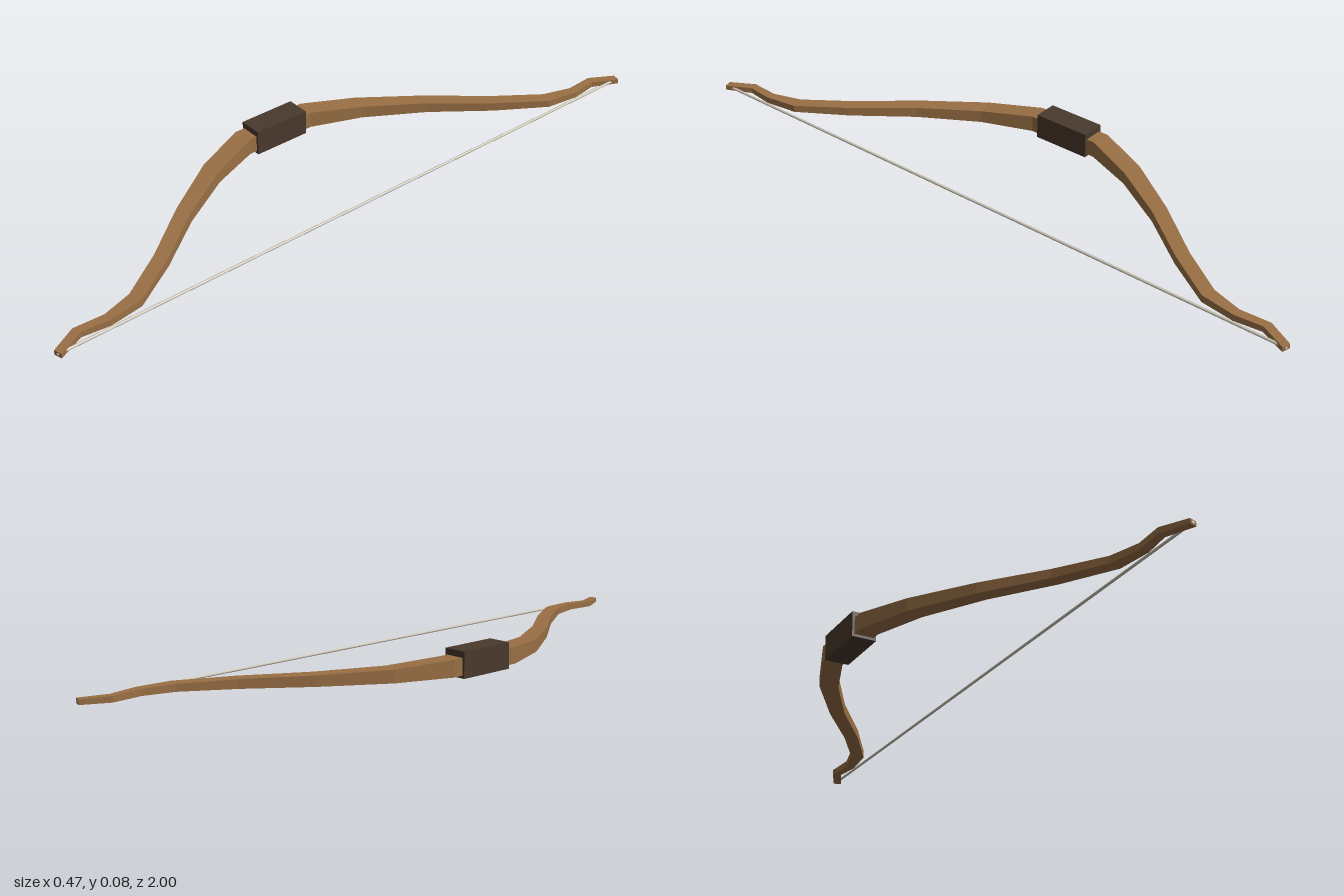
import * as THREE from 'three';

const WOOD = new THREE.MeshStandardMaterial({ color: 0x9a7045, flatShading: true });
const LEATHER = new THREE.MeshStandardMaterial({ color: 0x4a392e, flatShading: true });
const CORD = new THREE.MeshStandardMaterial({ color: 0xcfc8ba });

// half-limb sections: outer x, outer z, inner x, inner z, top y
const SECTIONS = [
  [-0.23, 0.12, -0.172, 0.112, 0.057],
  [-0.168, 0.278, -0.115, 0.262, 0.045],
  [-0.055, 0.45, -0.015, 0.43, 0.039],
  [0.07, 0.61, 0.106, 0.59, 0.034],
  [0.157, 0.745, 0.196, 0.733, 0.029],
  [0.182, 0.835, 0.21, 0.835, 0.027],
  [0.175, 0.924, 0.2, 0.916, 0.025],
  [0.213, 1.0, 0.236, 0.993, 0.022],
];
const BASE = 0.008;

// four-sided tapered stave swept through all sections, tip to tip
function staveGeometry() {
  const mirrored = SECTIONS.map(([ox, oz, ix, iz, y]) => [ox, -oz, ix, -iz, y]).reverse();
  const rings = [...mirrored, ...SECTIONS].map(([ox, oz, ix, iz, y]) => [
    [ox, BASE, oz], [ix, BASE, iz], [ix, y, iz], [ox, y, oz],
  ]);
  const pos = [];
  const quad = (a, b, c, d) => pos.push(...a, ...b, ...c, ...a, ...c, ...d);
  for (let i = 0; i < rings.length - 1; i++) {
    const p = rings[i], q = rings[i + 1];
    for (let k = 0; k < 4; k++) {
      const n = (k + 1) % 4;
      quad(p[k], p[n], q[n], q[k]);
    }
  }
  const first = rings[0], last = rings[rings.length - 1];
  quad(first[3], first[2], first[1], first[0]);
  quad(last[0], last[1], last[2], last[3]);
  const g = new THREE.BufferGeometry();
  g.setAttribute('position', new THREE.Float32BufferAttribute(pos, 3));
  g.computeVertexNormals();
  return g;
}

export function createModel() {
  const bow = new THREE.Group();
  bow.name = 'bow';

  const add = (name, geometry, material, x = 0, y = 0, z = 0) => {
    const mesh = new THREE.Mesh(geometry, material);
    mesh.name = name;
    mesh.position.set(x, y, z);
    bow.add(mesh);
    return mesh;
  };

  add('stave', staveGeometry(), WOOD);
  add('grip', new THREE.BoxGeometry(0.072, 0.075, 0.176), LEATHER, -0.201, 0.0375, 0);

  // taut string between the tips
  const string = add('bowstring', new THREE.CylinderGeometry(0.004, 0.004, 1.996, 8), CORD, 0.224, 0.015, 0);
  string.rotation.x = Math.PI / 2;

  return bow;
}
